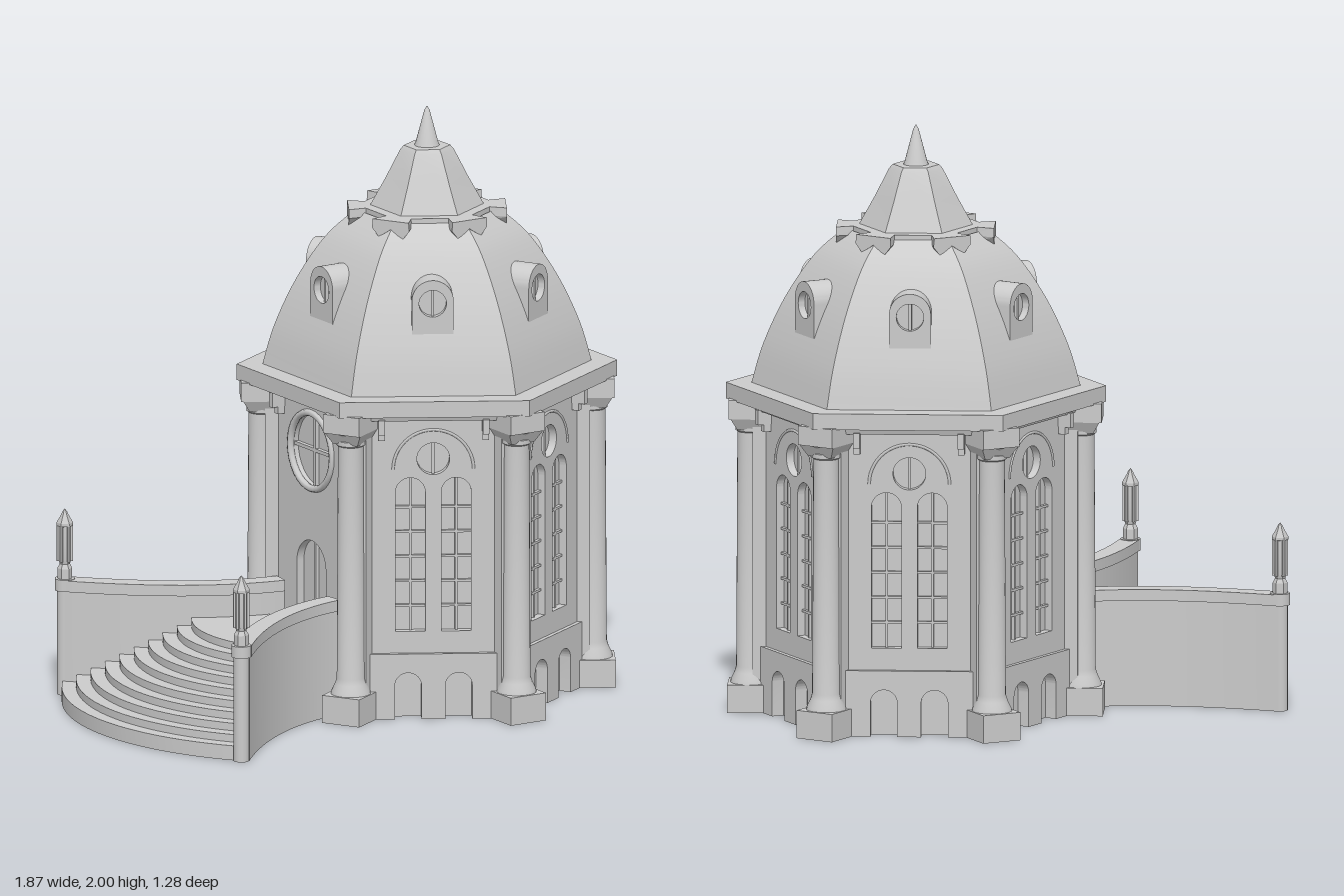
import * as THREE from 'three';
import { toCreasedNormals } from 'three/addons/utils/BufferGeometryUtils.js';

const smooth = new THREE.MeshStandardMaterial({ color: 0xcccccc });
const flat = new THREE.MeshStandardMaterial({ color: 0xcccccc, flatShading: true });

function add(parent, name, geo, x = 0, y = 0, z = 0, mat = smooth) {
  const m = new THREE.Mesh(geo, mat);
  m.name = name;
  m.position.set(x, y, z);
  parent.add(m);
  return m;
}
const box = (p, name, w, h, d, x, y, z) => add(p, name, new THREE.BoxGeometry(w, h, d), x, y, z);
const v2 = (x, y) => new THREE.Vector2(x, y);
const extrude = (shape, depth) =>
  toCreasedNormals(new THREE.ExtrudeGeometry(shape, { depth, bevelEnabled: false, curveSegments: 16 }), 0.6);
// hexagonal prism with a corner on +z
function hex(p, name, r0, r1, y0, y1) {
  return add(p, name, new THREE.CylinderGeometry(r1, r0, y1 - y0, 6), 0, (y0 + y1) / 2, 0, flat);
}
const lathe = (pts, sides) =>
  toCreasedNormals(new THREE.LatheGeometry(pts.map(p => v2(...p)), sides), sides < 8 ? 0.35 : 0.6);

// round-headed outline
function arch(C, x, y0, top, hw) {
  const s = new C();
  s.moveTo(x - hw, y0);
  s.lineTo(x + hw, y0);
  s.lineTo(x + hw, top - hw);
  s.absarc(x, top - hw, hw, 0, Math.PI, false);
  s.closePath();
  return s;
}
function circle(x, y, r) {
  const s = new THREE.Path();
  s.absarc(x, y, r, 0, Math.PI * 2, false);
  return s;
}
function rect(x0, y0, x1, y1) {
  return new THREE.Shape([v2(x0, y0), v2(x1, y0), v2(x1, y1), v2(x0, y1)]);
}

// one wall bay, outward along +z
function bay(isDoor) {
  const g = new THREE.Group();
  g.name = isDoor ? 'doorBay' : 'windowBay';
  const wall = rect(-0.26, 0.2, 0.26, 1.06);
  if (isDoor) {
    wall.holes.push(circle(0, 0.87, 0.125), arch(THREE.Path, 0, 0.28, 0.56, 0.09));
    add(g, 'roundWindowFrame', new THREE.TorusGeometry(0.13, 0.012, 8, 32), 0, 0.87, 0.46);
    box(g, 'roundWindowMullion', 0.012, 0.25, 0.015, 0, 0.87, 0.44);
    box(g, 'roundWindowTransom', 0.25, 0.012, 0.015, 0, 0.87, 0.44);
    box(g, 'doorSplit', 0.01, 0.27, 0.012, 0, 0.42, 0.438);
  } else {
    wall.holes.push(circle(0, 0.895, 0.055));
    box(g, 'roundelMullion', 0.01, 0.11, 0.012, 0, 0.895, 0.438);
    add(g, 'blindArch', new THREE.TorusGeometry(0.135, 0.006, 6, 24, Math.PI), 0, 0.86, 0.458);
    for (const s of [-1, 1]) {
      wall.holes.push(arch(THREE.Path, s * 0.077, 0.3, 0.83, 0.05));
      box(g, 'windowMullion', 0.008, 0.53, 0.012, s * 0.077, 0.565, 0.438);
      for (let i = 1; i < 6; i++) box(g, 'windowBar', 0.1, 0.008, 0.012, s * 0.077, 0.3 + i * 0.085, 0.438);
    }
  }
  add(g, 'wallPanel', extrude(wall, 0.03), 0, 0, 0.43);

  // plinth with two round-headed niches open at the ground
  const plinth = new THREE.Shape();
  plinth.moveTo(-0.265, 0);
  for (const x of [-0.085, 0.085]) {
    plinth.lineTo(x - 0.045, 0);
    plinth.lineTo(x - 0.045, 0.115);
    plinth.absarc(x, 0.115, 0.045, Math.PI, 0, true);
    plinth.lineTo(x + 0.045, 0);
  }
  plinth.lineTo(0.265, 0);
  plinth.lineTo(0.265, 0.225);
  plinth.lineTo(-0.265, 0.225);
  add(g, 'plinth', extrude(plinth, 0.055), 0, 0, 0.42);

  for (const s of [-1, 1]) {
    box(g, 'eaveBracket', 0.022, 0.05, 0.06, s * 0.175, 1.015, 0.48);
    box(g, 'bracketDrop', 0.022, 0.04, 0.025, s * 0.175, 0.985, 0.475);
  }
  return g;
}

// corner column, outward along +z
function column() {
  const g = new THREE.Group();
  g.name = 'cornerColumn';
  const z = 0.556;
  box(g, 'columnBase', 0.14, 0.095, 0.16, 0, 0.0475, 0.55);
  box(g, 'pilaster', 0.105, 1.0, 0.08, 0, 0.55, 0.505);
  add(g, 'columnShaft', lathe([[0.068, 0.09], [0.065, 0.105], [0.053, 0.13], [0.047, 0.15], [0.043, 0.95],
    [0.05, 0.955], [0.05, 0.97], [0.045, 0.975], [0.065, 1.0]], 24), 0, 0, z);
  const flare = add(g, 'capitalFlare', new THREE.CylinderGeometry(0.095, 0.065, 0.04, 4), 0, 0.98, z - 0.005, flat);
  flare.rotation.y = Math.PI / 4;
  box(g, 'capital', 0.135, 0.065, 0.15, 0, 1.0325, z - 0.005);
  return g;
}

// round-topped dormer on a roof face
function dormer() {
  const g = new THREE.Group();
  g.name = 'dormer';
  const s = arch(THREE.Shape, 0, 1.31, 1.5, 0.07);
  s.holes.push(circle(0, 1.42, 0.046));
  add(g, 'dormerHood', extrude(s, 0.13), 0, 0, 0.29);
  add(g, 'dormerPane', new THREE.CircleGeometry(0.05, 24), 0, 1.42, 0.395);
  box(g, 'dormerMullion', 0.01, 0.092, 0.012, 0, 1.42, 0.4);
  return g;
}

// two-toothed ornament at a roof corner
function ornament() {
  const s = new THREE.Shape([v2(-0.068, 1.66), v2(-0.07, 1.63), v2(-0.045, 1.6), v2(0, 1.63),
    v2(0.045, 1.6), v2(0.07, 1.63), v2(0.068, 1.66)]);
  const geo = new THREE.ExtrudeGeometry(s, { depth: 0.095, bevelEnabled: false });
  const p = geo.attributes.position;
  // narrow towards the spire
  for (let i = 0; i < p.count; i++) if (p.getZ(i) < 0.01) p.setX(i, p.getX(i) * 0.5);
  const g = new THREE.Group();
  g.name = 'roofOrnament';
  add(g, 'ornamentTeeth', geo, 0, 0, 0.17, flat);
  return g;
}

// staircase: concentric arcs between two curved side walls
function stairs() {
  const g = new THREE.Group();
  g.name = 'entranceStairs';
  const curve = new THREE.QuadraticBezierCurve(v2(-0.12, 0.165), v2(-0.43, 0.205), v2(-0.735, 0.55));
  const pts = curve.getPoints(60);
  const cx = -0.065;
  // shapes are drawn in (x, z) and stood up along y
  const slab = (name, shape, y0, h) =>
    add(g, name, extrude(shape, h).rotateX(Math.PI / 2), 0, y0 + h, 0);

  for (let i = 0; i < 10; i++) {
    const r = 0.87 - i * 0.0483;
    const side = pts.filter(p => Math.hypot(p.x - cx, p.y) < r);
    const end = side[side.length - 1];
    const a = Math.atan2(end.y, cx - end.x);
    const arc = [];
    for (let k = 0; k <= 32; k++) {
      const t = a * (1 - k / 16);
      arc.push(v2(cx - r * Math.cos(t), r * Math.sin(t)));
    }
    const mirror = side.map(p => v2(p.x, -p.y)).reverse();
    slab(i === 9 ? 'landing' : 'step', new THREE.Shape([...side, ...arc, ...mirror]), 0, 0.05 + i * 0.026);
  }

  for (const s of [-1, 1]) {
    const band = w => {
      const off = d => pts.map((p, i) => {
        const t = curve.getTangent(i / 60);
        return v2(p.x - t.y * d, (p.y + t.x * d) * s);
      });
      return new THREE.Shape([...off(w), ...off(-w).reverse()]);
    };
    slab('sideWall', band(0.026), 0, 0.36);
    slab('sideWallCap', band(0.033), 0.36, 0.038);
    // end post and lantern
    const post = new THREE.Group();
    post.name = 'lanternPost';
    post.position.set(-0.735, 0, s * 0.548);
    g.add(post);
    add(post, 'post', new THREE.CylinderGeometry(0.026, 0.026, 0.37, 16), 0, 0.185, 0);
    add(post, 'postCap', new THREE.CylinderGeometry(0.034, 0.034, 0.04, 16), 0, 0.38, 0);
    add(post, 'lantern', lathe([[0.025, 0.398], [0.025, 0.435], [0.017, 0.45], [0.022, 0.465], [0.022, 0.58],
      [0.028, 0.582], [0.028, 0.592], [0.012, 0.62], [0.008, 0.63], [0, 0.64]], 6));
    for (let k = 0; k < 6; k++) {
      const t = k * Math.PI / 3;
      box(post, 'lanternRib', 0.008, 0.125, 0.008, 0.023 * Math.sin(t), 0.522, 0.023 * Math.cos(t)).rotation.y = t;
    }
  }
  return g;
}

export function createModel() {
  const model = new THREE.Group();
  model.name = 'hexagonalPavilion';
  const tower = new THREE.Group();
  tower.name = 'tower';
  tower.position.x = 0.355;
  model.add(tower);

  hex(tower, 'wallCore', 0.499, 0.499, 0, 1.08);
  hex(tower, 'cornice', 0.575, 0.585, 1.035, 1.06);
  hex(tower, 'eave', 0.638, 0.638, 1.06, 1.115);

  // bell-shaped hexagonal roof
  const profile = new THREE.SplineCurve([v2(0.552, 1.113), v2(0.512, 1.25), v2(0.438, 1.41),
    v2(0.34, 1.555), v2(0.24, 1.645)]).getPoints(20).map(p => [p.x, p.y]);
  add(tower, 'roof', lathe(profile, 6));
  hex(tower, 'roofCollar', 0.235, 0.235, 1.62, 1.66);
  add(tower, 'spire', lathe([[0.193, 1.655], [0.138, 1.755], [0.09, 1.85], [0.078, 1.864], [0, 1.866]], 6));
  add(tower, 'finial', lathe([[0.044, 1.86], [0.038, 1.875], [0.009, 1.985], [0, 2]], 20));

  for (let k = 0; k < 6; k++) {
    const corner = k * Math.PI / 3, face = corner + Math.PI / 2;
    for (const part of [column(), ornament()]) {
      part.rotation.y = corner;
      tower.add(part);
    }
    for (const part of [bay(k === 3), dormer()]) {
      part.rotation.y = face;
      tower.add(part);
    }
  }
  model.add(stairs());
  return model;
}
